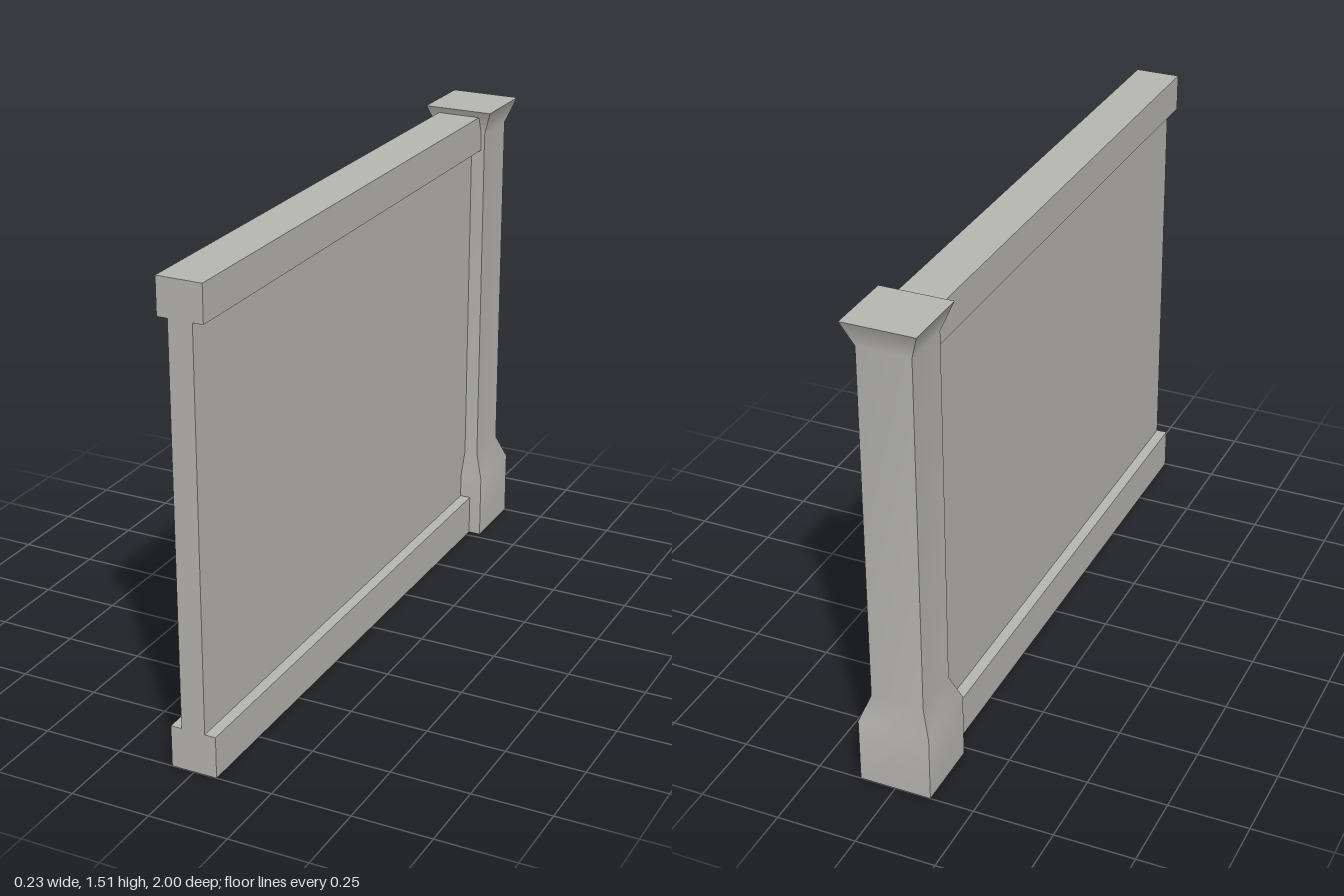
import * as THREE from 'three';
import { mergeGeometries } from 'three/addons/utils/BufferGeometryUtils.js';

const stone = new THREE.MeshStandardMaterial({ color: 0xbab9b4 });
stone.name = 'warm grey stone';

// Post outline: [half width, height]
const POST_PROFILE = [[0.113, 0], [0.113, 0.21], [0.083, 0.29], [0.083, 1.43], [0.113, 1.51]];
const POST_Z = -0.887;

// One side of the post, smooth along its height and sharp at the corners
function postSide(angle) {
  const positions = [];
  const index = [];
  POST_PROFILE.forEach(([r, y], i) => {
    positions.push(-r, y, r, r, y, r);
    if (i > 0) {
      const a = 2 * (i - 1);
      index.push(a, a + 1, a + 3, a, a + 3, a + 2);
    }
  });
  const geometry = new THREE.BufferGeometry();
  geometry.setAttribute('position', new THREE.Float32BufferAttribute(positions, 3));
  geometry.setIndex(index);
  geometry.computeVertexNormals();
  return geometry.rotateY(angle);
}

// Flat square closing the post at the top or bottom
function postCap(r, y, tilt) {
  const geometry = new THREE.PlaneGeometry(2 * r, 2 * r).rotateX(tilt).translate(0, y, 0);
  geometry.deleteAttribute('uv');
  return geometry;
}

function createPost() {
  const parts = [0, 1, 2, 3].map((i) => postSide((i * Math.PI) / 2));
  const [topRadius, topY] = POST_PROFILE[POST_PROFILE.length - 1];
  parts.push(postCap(topRadius, topY, -Math.PI / 2));
  parts.push(postCap(POST_PROFILE[0][0], 0, Math.PI / 2));
  const post = new THREE.Mesh(mergeGeometries(parts), stone);
  post.name = 'post';
  post.position.z = POST_Z;
  return post;
}

// Long bar running from inside the post to the open end of the wall
function createBar(name, halfWidth, y0, y1) {
  const length = 1 - POST_Z;
  const bar = new THREE.Mesh(new THREE.BoxGeometry(2 * halfWidth, y1 - y0, length), stone);
  bar.name = name;
  bar.position.set(0, (y0 + y1) / 2, 1 - length / 2);
  return bar;
}

export function createModel() {
  const model = new THREE.Group();
  model.name = 'wallSection';
  model.add(
    createPost(),
    createBar('bottomRail', 0.073, 0, 0.133),
    createBar('wallPanel', 0.038, 0.133, 1.375),
    createBar('topRail', 0.071, 1.375, 1.49),
  );
  return model;
}
